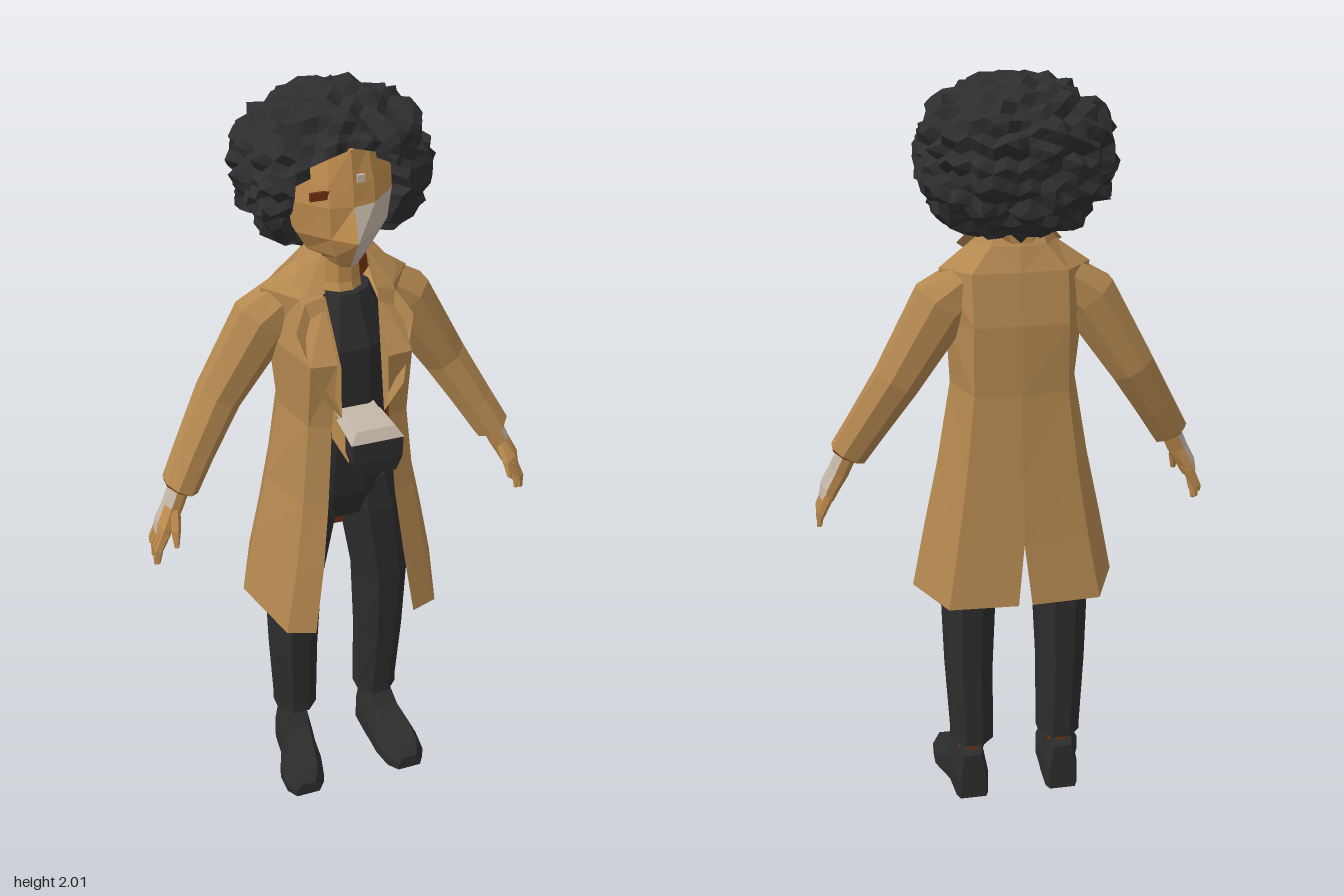
import * as THREE from 'three';

const mat = (name, color, extra = {}) => {
  const m = new THREE.MeshStandardMaterial({ color, flatShading: true, ...extra });
  m.name = name;
  return m;
};

// Skin rings into a faceted surface; pick(centre, normal) chooses a material index per triangle.
function loft(name, rings, mats, { open = false, inward = false, pick = () => 0 } = {}) {
  const tris = [], n = rings[0].length, ref = new THREE.Vector3(0, 1, 0);
  const R = rings.map(r => r.map(p => new THREE.Vector3(...p)));
  for (let i = 0; i < R.length - 1; i++) {
    for (let j = 0; j < (open ? n - 1 : n); j++) {
      const k = (j + 1) % n, a = R[i][j], b = R[i][k], c = R[i + 1][k], d = R[i + 1][j];
      tris.push([a, b, c], [a, c, d]);
    }
  }
  if (!open) {
    for (const [ring, first] of [[R[0], true], [R[R.length - 1], false]]) {
      const c = ring.reduce((s, p) => s.add(p), new THREE.Vector3()).divideScalar(n);
      ring.forEach((p, j) => tris.push(first ? [c, ring[(j + 1) % n], p] : [c, p, ring[(j + 1) % n]]));
    }
  }
  // Turn all faces outward by the sign of the enclosed volume
  let vol = 0;
  const s = p => p.clone().sub(ref);
  for (const [a, b, c] of tris) vol += s(a).dot(s(b).cross(s(c)));
  if ((vol < 0) !== inward) tris.forEach(t => t.reverse());
  const list = Array.isArray(mats) ? mats : [mats], buckets = list.map(() => []);
  for (const [a, b, c] of tris) {
    const normal = b.clone().sub(a).cross(c.clone().sub(a)).normalize();
    const centre = a.clone().add(b).add(c).divideScalar(3);
    buckets[pick(centre, normal)].push(...a.toArray(), ...b.toArray(), ...c.toArray());
  }
  const g = new THREE.BufferGeometry();
  g.setAttribute('position', new THREE.Float32BufferAttribute(buckets.flat(), 3));
  let start = 0;
  buckets.forEach((b, i) => { g.addGroup(start, b.length / 3, i); start += b.length / 3; });
  g.computeVertexNormals();
  const mesh = new THREE.Mesh(g, list.length > 1 ? list : list[0]);
  mesh.name = name;
  return mesh;
}

// Horizontal oval ring
const oval = (cx, y, cz, rx, rz, n = 10) => Array.from({ length: n }, (_, i) => {
  const t = (i + 0.5) / n * Math.PI * 2;
  return [cx + Math.sin(t) * rx, y, cz + Math.cos(t) * rz];
});

// Rings square to a path of [x, y, z, radius, depth radius], mirrored by side
const limb = (side, path, n = 8) => path.map(([x, y, z, r, rz], i) => {
  const a = path[Math.max(i - 1, 0)], b = path[Math.min(i + 1, path.length - 1)];
  const dx = b[0] - a[0], dy = b[1] - a[1], l = Math.hypot(dx, dy);
  return Array.from({ length: n }, (_, j) => {
    const t = (j + 0.5) / n * Math.PI * 2, u = Math.cos(t) * r;
    return [side * (x - dy / l * u), y + dx / l * u, z + Math.sin(t) * rz];
  });
});

export function createModel() {
  const coat = mat('coat tan', 0xb48850), skin = mat('skin', 0xbe8c4e);
  const black = mat('black cloth', 0x2d2d2e), hairMat = mat('hair black', 0x2e2e30);
  const light = mat('pale skin', 0xc4b7a8), brown = mat('lining brown', 0x6e300f);
  const lapelMat = mat('lapel tan', 0xb48850, { side: THREE.DoubleSide });
  const model = new THREE.Group();
  model.name = 'figure';
  const add = (...m) => model.add(...m);
  const box = (name, w, h, d, x, y, z, m) => {
    const b = new THREE.Mesh(new THREE.BoxGeometry(w, h, d), m);
    b.name = name;
    b.position.set(x, y, z);
    add(b);
  };

  // Hair: jittered rounded ball, hollowed around the face
  const hairGeo = new THREE.IcosahedronGeometry(1, 8), hp = hairGeo.attributes.position;
  const hash = (x, y, z) => {
    const v = Math.sin(Math.round(x * 500) * 12.99 + Math.round(y * 500) * 78.23 + Math.round(z * 500) * 37.72) * 43758.5;
    return v - Math.floor(v);
  };
  for (let i = 0; i < hp.count; i++) {
    const dx = hp.getX(i), dy = hp.getY(i), dz = hp.getZ(i);
    const norm = (Math.abs(dx) ** 2.4 + Math.abs(dy) ** 2.4 + Math.abs(dz) ** 2.4) ** (1 / 2.4);
    const k = (0.86 + 0.17 * hash(dx, dy, dz)) / norm;
    const x = 0.008 + dx * k * 0.243, y = 1.808 + dy * k * 0.195;
    let z = -0.075 + dz * k * 0.205;
    if (y < 1.8) z = Math.min(z, 0.09 - (1.8 - y) * 0.6);
    if (dz > 0 && y < 1.895 - x * x * 5 && Math.abs(x - 0.005) < 0.125) z = Math.min(z, -0.02);
    hp.setXYZ(i, x, y, z);
  }
  hairGeo.computeVertexNormals();
  const hair = new THREE.Mesh(hairGeo, hairMat);
  hair.name = 'hair';
  add(hair);

  // Head: [height, nose line depth, cheek depth, half width]
  const headRings = [
    [1.605, 0.085, 0.075, 0.045], [1.64, 0.11, 0.088, 0.085], [1.69, 0.143, 0.098, 0.115],
    [1.77, 0.112, 0.1, 0.125], [1.82, 0.104, 0.09, 0.125], [1.9, 0.088, 0.07, 0.105], [1.94, 0.03, 0.02, 0.07],
  ].map(([y, zn, zc, w]) => {
    const half = [[w * 0.45, zc], [w, zc - 0.07], [w * 0.95, -0.06], [w * 0.5, -0.12]];
    return [[0, y, zn], ...half.map(([x, z]) => [x, y, z]), ...half.slice().reverse().map(([x, z]) => [-x, y, z])];
  });
  add(loft('head', headRings, [skin, light], {
    pick: c => (c.x > 0.012 && c.y < 1.77 && c.y > 1.612 && c.z > 0.02 ? 1 : 0),
  }));
  box('eye', 0.06, 0.02, 0.008, -0.07, 1.8, 0.089, brown);
  box('foreheadSpot', 0.018, 0.018, 0.008, 0.02, 1.835, 0.1, light);
  add(loft('neck', [oval(0, 1.49, 0.02, 0.06, 0.055), oval(0, 1.55, 0.0, 0.055, 0.055), oval(0, 1.67, 0.0, 0.05, 0.05)], skin));

  // Shirt and hips
  add(loft('torso', [
    oval(0, 0.87, -0.01, 0.1, 0.08), oval(0, 0.95, -0.01, 0.15, 0.105), oval(0, 1.2, 0.01, 0.125, 0.115),
    oval(0, 1.4, 0.015, 0.13, 0.115), oval(0, 1.53, 0.01, 0.075, 0.07),
  ], black));

  // Pouch at the waist
  box('pouchBack', 0.11, 0.09, 0.125, 0, 1.195, 0.17, [skin, skin, light, black, black, black]);
  add(loft('pouchFront', [[1.14, 0.05, 0.28], [1.18, 0.064, 0.285], [1.235, 0.066, 0.285]].map(([y, w, z]) =>
    [[-w, y, z], [w, y, z], [w * 0.95, y, 0.225], [-w * 0.95, y, 0.225]]), black));
  add(loft('pouchTop', [[1.235, 0.068, 0.285, 0.16], [1.262, 0.05, 0.27, 0.18]].map(([y, w, z, b]) =>
    [[-w, y, z], [w, y, z], [w * 0.9, y, b], [-w * 0.9, y, b]]), light));

  // Coat half sections from front edge to back seam: [x, z, extra height]
  const coatLevels = [
    [1.635, [0.058, 0.025], [0.07, 0.005], [0.075, -0.03], [0.05, -0.06], [0, -0.068]],
    [1.59, [0.06, 0.045], [0.085, 0.03], [0.105, -0.025], [0.07, -0.085], [0, -0.095]],
    [1.53, [0.068, 0.09], [0.12, 0.065], [0.19, -0.03], [0.12, -0.108], [0, -0.115]],
    [1.4, [0.065, 0.178], [0.13, 0.17], [0.175, -0.025], [0.12, -0.13], [0, -0.135]],
    [1.22, [0.075, 0.165], [0.13, 0.145], [0.163, 0], [0.12, -0.128], [0, -0.138]],
    [1.0, [0.09, 0.18], [0.15, 0.158], [0.2, 0], [0.145, -0.145], [0, -0.155]],
    [0.82, [0.11, 0.2], [0.175, 0.175], [0.238, 0], [0.172, -0.162], [0, -0.172]],
    [0.62, [0.138, 0.215], [0.21, 0.19], [0.272, 0, 0.025], [0.2, -0.18, 0.035], [0.018, -0.19, 0.035]],
  ];
  for (const [s, label] of [[1, 'left'], [-1, 'right']]) {
    const shell = k => coatLevels.map(([y, ...p]) => p.map(([x, z, up = 0]) => [s * x * k, y + up, z * k]));
    add(loft(label + 'CoatHalf', shell(1), coat, { open: true }));
    add(loft(label + 'CoatLining', shell(0.99), brown, { open: true, inward: true }));

    // Lapel and collar flap
    const flap = (name, pts) => {
      const g = new THREE.BufferGeometry(), v = [];
      for (let i = 1; i < pts.length - 1; i++) v.push(pts[0], pts[i], pts[i + 1]);
      g.setAttribute('position', new THREE.Float32BufferAttribute(v.flatMap(([x, y, z]) => [s * x, y, z]), 3));
      g.computeVertexNormals();
      const m = new THREE.Mesh(g, lapelMat);
      m.name = name;
      add(m);
    };
    flap(label + 'Lapel', [[0.055, 1.25, 0.182], [0.06, 1.4, 0.19], [0.066, 1.545, 0.095], [0.115, 1.53, 0.09], [0.15, 1.475, 0.125], [0.105, 1.32, 0.182]]);
    flap(label + 'Collar', [[0.055, 1.63, 0.04], [0.066, 1.55, 0.093], [0.11, 1.545, 0.085], [0.135, 1.57, 0.045], [0.08, 1.635, 0.01]]);

    // Sleeve
    add(loft(label + 'Sleeve', limb(s, [
      [0.11, 1.5, -0.035, 0.06, 0.06], [0.185, 1.44, -0.035, 0.08, 0.068], [0.305, 1.245, -0.04, 0.062, 0.06],
      [0.38, 1.12, -0.01, 0.054, 0.055], [0.43, 1.035, 0.014, 0.05, 0.053],
    ]), coat));
    add(loft(label + 'SleeveOpening', limb(s, [[0.429, 1.037, 0.014, 0.044, 0.046], [0.432, 1.031, 0.015, 0.044, 0.046]]), brown));

    // Hand, fingers and thumb
    add(loft(label + 'Hand', limb(s, [
      [0.428, 1.045, 0.015, 0.028, 0.03], [0.455, 0.985, 0.022, 0.028, 0.032],
      [0.48, 0.94, 0.028, 0.026, 0.042], [0.49, 0.91, 0.028, 0.02, 0.042],
    ]), [skin, light], { pick: (c, n) => (n.x * s > 0.45 && c.z < 0.045 ? 1 : 0) }));
    for (let f = 0; f < 4; f++) {
      const z = -0.004 + f * 0.021, tip = [0.86, 0.835, 0.822, 0.838][f];
      add(loft(label + 'Finger', limb(s, [
        [0.485, 0.925, z, 0.014, 0.011], [0.508, 0.875, z, 0.012, 0.01], [0.512, tip, z, 0.007, 0.007],
      ], 5), skin));
    }
    add(loft(label + 'Thumb', limb(s, [
      [0.455, 0.985, 0.04, 0.016, 0.015], [0.462, 0.94, 0.07, 0.014, 0.013], [0.466, 0.895, 0.085, 0.007, 0.007],
    ], 5), skin));

    // Trouser leg
    add(loft(label + 'TrouserLeg', [
      oval(s * 0.123, 0.17, -0.03, 0.062, 0.064, 8), oval(s * 0.123, 0.2, -0.03, 0.062, 0.064, 8),
      oval(s * 0.128, 0.4, -0.022, 0.068, 0.078, 8), oval(s * 0.126, 0.62, -0.016, 0.076, 0.092, 8),
      oval(s * 0.092, 0.88, -0.01, 0.088, 0.1, 8), oval(s * 0.075, 0.98, -0.01, 0.075, 0.09, 8),
    ], black));
    add(loft(label + 'Ankle', [oval(s * 0.127, 0.14, -0.035, 0.038, 0.045, 8), oval(s * 0.125, 0.18, -0.033, 0.038, 0.045, 8)], brown));

    // Shoe: [z, centre x, half width, height]
    add(loft(label + 'Shoe', [
      [-0.09, 0.128, 0.036, 0.14], [-0.07, 0.128, 0.045, 0.158], [0.01, 0.132, 0.048, 0.158], [0.04, 0.138, 0.052, 0.12],
      [0.095, 0.149, 0.062, 0.088], [0.155, 0.154, 0.055, 0.064], [0.185, 0.156, 0.034, 0.04],
    ].map(([z, cx, w, h]) => [[-w, 0], [w, 0], [w, h * 0.45], [w * 0.65, h], [-w * 0.65, h], [-w, h * 0.45]]
      .map(([x, y]) => [s * (cx + x), y, z])), black));
  }
  return model;
}
